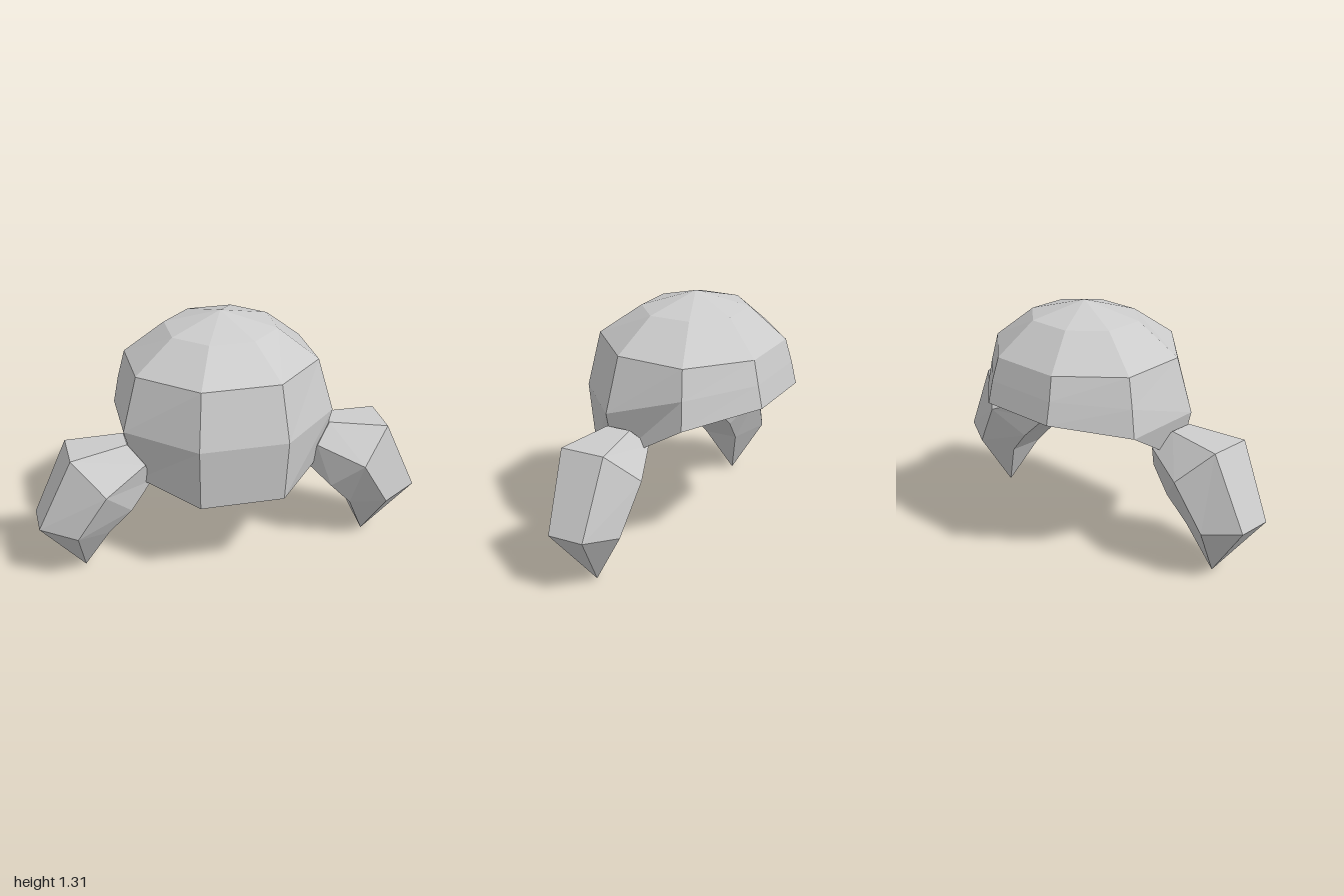
import * as THREE from 'three';

const material = new THREE.MeshStandardMaterial({ color: 0xcccccc, flatShading: true });

// Skin a list of equal rings, closing each end with a fan to a pole
function loft(name, rings, startPole, endPole) {
  const positions = [];
  const tri = (...corners) => corners.forEach((p) => positions.push(...p));
  const n = rings[0].length;
  const last = rings[rings.length - 1];
  for (let i = 0; i < n; i++) {
    const j = (i + 1) % n;
    tri(startPole, rings[0][j], rings[0][i]);
    for (let r = 0; r < rings.length - 1; r++) {
      const a = rings[r], b = rings[r + 1];
      tri(a[i], a[j], b[j]);
      tri(a[i], b[j], b[i]);
    }
    tri(last[i], last[j], endPole);
  }
  const geometry = new THREE.BufferGeometry();
  geometry.setAttribute('position', new THREE.Float32BufferAttribute(positions, 3));
  geometry.computeVertexNormals();
  const mesh = new THREE.Mesh(geometry, material);
  mesh.name = name;
  return mesh;
}

const mirrorX = ([x, y, z]) => [-x, y, z];

// Eight-sided dome, cut away at the back; half rings run front to back
function createShell() {
  const halves = [
    [[0.215, 0.46, 0.465], [0.475, 0.515, 0.19], [0.53, 0.765, -0.22], [0.21, 0.825, -0.495]],
    [[0.225, 0.79, 0.495], [0.545, 0.79, 0.19], [0.505, 0.91, -0.21], [0.205, 0.94, -0.47]],
    [[0.2, 1.08, 0.43], [0.47, 1.07, 0.16], [0.47, 1.06, -0.195], [0.19, 1.06, -0.44]],
    [[0.115, 1.23, 0.23], [0.27, 1.23, 0.09], [0.27, 1.23, -0.125], [0.115, 1.23, -0.27]],
  ];
  const rings = halves.map((half) => [...half, ...half.map(mirrorX).reverse()]);
  return loft('domeShell', rings, [0, 0.68, 0.02], [0, 1.31, -0.02]);
}

// Six-sided claw: each ring has an outer, middle and inner pair of corners
function createClaw(name, side) {
  const sections = [
    { z: 0.13, pairs: [[0.53, 0.72, 0.065], [0.45, 0.625, 0.125], [0.41, 0.5, 0.065]] },
    { z: 0.152, pairs: [[0.825, 0.7, 0.117], [0.67, 0.535, 0.232], [0.53, 0.38, 0.117]] },
    { z: 0.15, pairs: [[1, 0.317, 0.095], [0.817, 0.287, 0.19], [0.648, 0.25, 0.095]] },
  ];
  const rings = sections.map(({ z, pairs }) => {
    const front = pairs.map(([x, y, w]) => [side * x, y, z + w]);
    const back = pairs.map(([x, y, w]) => [side * x, y, z - w]).reverse();
    const ring = [...front, ...back];
    return side > 0 ? ring : ring.reverse();
  });
  return loft(name, rings, [side * 0.46, 0.615, 0.13], [side * 0.765, 0, 0.13]);
}

export function createModel() {
  const model = new THREE.Group();
  model.name = 'clawedDome';
  model.add(createShell(), createClaw('leftClaw', 1), createClaw('rightClaw', -1));
  return model;
}
